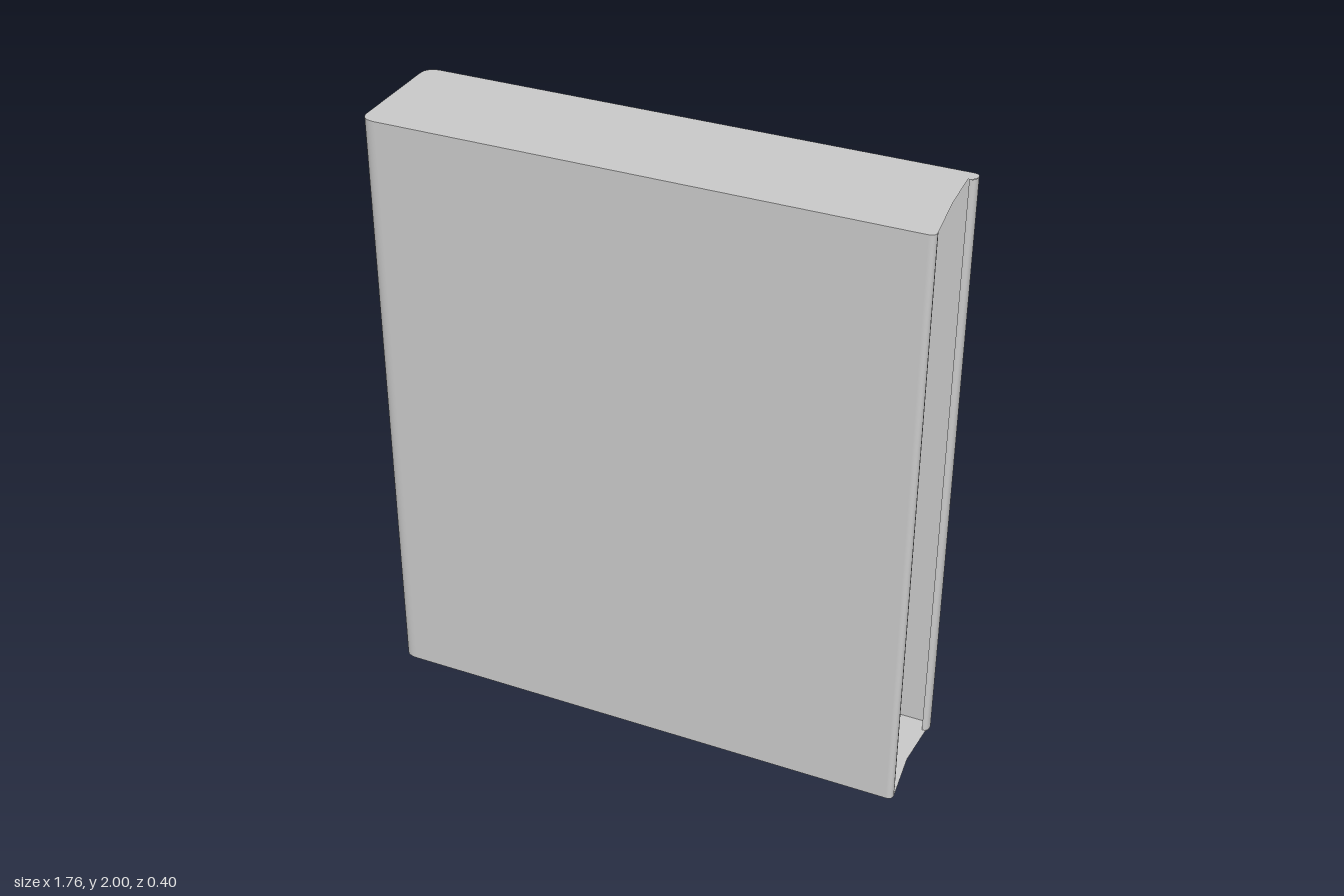
import * as THREE from 'three';

const H = 2, X = 0.88, Z = 0.2;
const material = new THREE.MeshStandardMaterial({ color: 0xcccccc, side: THREE.DoubleSide });

// Upright sheet that follows a plan path given as (x, z) points
function sheet(path) {
  const points = path.getPoints(8), pos = [], index = [];
  points.forEach((p, i) => {
    pos.push(p.x, 0, p.y, p.x, H, p.y);
    if (i) {
      const a = 2 * (i - 1);
      index.push(a, a + 2, a + 3, a, a + 3, a + 1);
    }
  });
  const geo = new THREE.BufferGeometry();
  geo.setAttribute('position', new THREE.Float32BufferAttribute(pos, 3));
  geo.setIndex(index);
  geo.computeVertexNormals();
  return geo;
}

export function createModel() {
  const group = new THREE.Group();
  const add = (name, geo) => {
    const mesh = new THREE.Mesh(geo, material);
    mesh.name = name;
    group.add(mesh);
    return mesh;
  };

  // Closed rounded side, front wall and its curled lip
  const wrap = new THREE.Path();
  wrap.moveTo(-0.83, -Z);
  wrap.quadraticCurveTo(-X, -Z, -X, -0.155);
  wrap.lineTo(-X, 0.155);
  wrap.quadraticCurveTo(-X, Z, -0.83, Z);
  wrap.lineTo(0.86, Z);
  wrap.quadraticCurveTo(X, Z, X, 0.18);
  wrap.lineTo(0.873, 0.153);
  add('sideAndFrontWall', sheet(wrap));

  // Curled lip on the back wall's open edge
  const lip = new THREE.Path();
  lip.moveTo(0.86, -0.155);
  lip.quadraticCurveTo(X, -0.155, X, -0.18);
  lip.quadraticCurveTo(X, -Z, 0.86, -Z);
  add('backLip', sheet(lip));

  // Back wall with the slanted cut-out, drawn as seen from behind
  const back = new THREE.Shape([
    [-0.86, 0], [-0.42, 0], [-0.42, 0.39], [0.825, 1.45], [0.825, 0], [0.83, 0], [0.83, H], [-0.86, H],
  ].map(([x, y]) => new THREE.Vector2(x, y)));
  const backGeo = new THREE.ShapeGeometry(back);
  backGeo.rotateY(Math.PI).translate(0, 0, -Z);
  add('backWall', backGeo);

  // Top and bottom panels, slightly hollow along the open side
  const panel = (notchX) => {
    const s = new THREE.Shape();
    s.moveTo(-0.83, -Z);
    s.quadraticCurveTo(-X, -Z, -X, -0.155);
    s.lineTo(-X, 0.155);
    s.quadraticCurveTo(-X, Z, -0.83, Z);
    s.lineTo(0.86, Z);
    s.quadraticCurveTo(X, Z, X, 0.18);
    s.lineTo(0.862, 0);
    s.lineTo(notchX, -0.155);
    s.quadraticCurveTo(X, -0.16, X, -0.18);
    s.quadraticCurveTo(X, -Z, 0.86, -Z);
    return new THREE.ShapeGeometry(s, 8);
  };
  add('topPanel', panel(0.856).rotateX(Math.PI / 2).translate(0, H, 0));
  add('bottomPanel', panel(0.872).rotateX(Math.PI / 2));

  // Wind the top panel so that it faces upwards
  const top = group.getObjectByName('topPanel').geometry;
  top.index.array.reverse();
  top.computeVertexNormals();

  return group;
}
